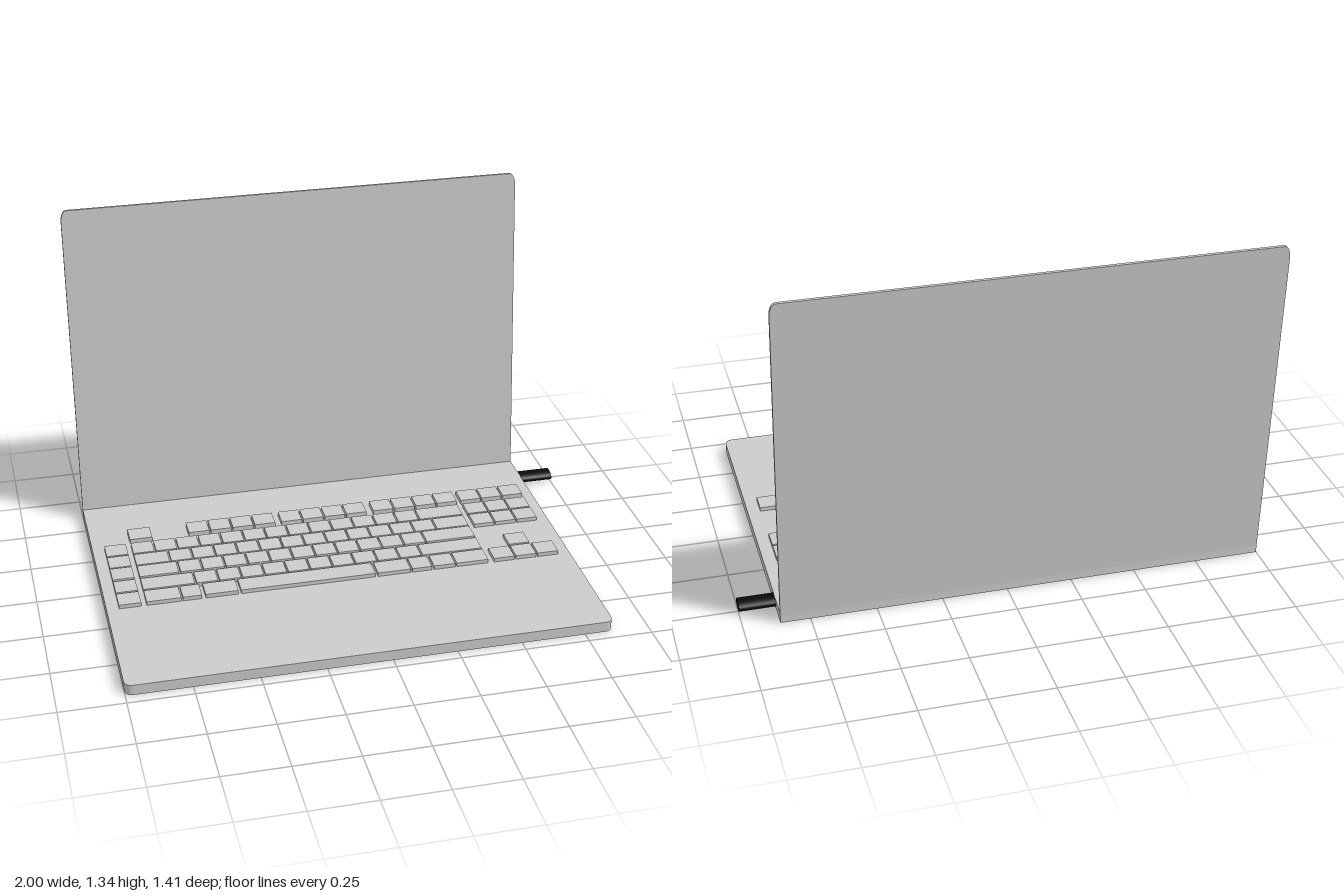
import * as THREE from 'three';

const grey = new THREE.MeshStandardMaterial({ color: 0xcccccc });
const black = new THREE.MeshStandardMaterial({ color: 0x0a0a0a });

const LEFT = -1, RIGHT = 0.862, WIDTH = RIGHT - LEFT, MID = (LEFT + RIGHT) / 2;

// Flat panel in XY standing on y = 0; far corners rounded, near ones square
function panel(name, height, depth, rx, ry) {
  const w = WIDTH / 2;
  const s = new THREE.Shape();
  s.moveTo(-w, 0);
  s.lineTo(w, 0);
  s.lineTo(w, height - ry);
  s.quadraticCurveTo(w - rx * 0.2, height, w - rx, height);
  s.lineTo(-w + rx, height);
  s.quadraticCurveTo(-w + rx * 0.2, height, -w, height - ry);
  s.closePath();
  const geo = new THREE.ExtrudeGeometry(s, { depth, bevelEnabled: false, curveSegments: 6 });
  const mesh = new THREE.Mesh(geo, grey);
  mesh.name = name;
  return mesh;
}

// Keyboard: rows listed as [left, right] edges in x
function keyboard() {
  const group = new THREE.Group();
  group.name = 'keyboard';
  const step = 0.0912, keyW = 0.084, gap = step - keyW;
  const x0 = -0.845, x1 = 0.521;
  const run = (x, n) => Array.from({ length: n }, (_, i) => [x + i * step, x + i * step + keyW]);
  const nav = run(0.546, 3);
  const side = [-0.952, -0.866];

  // A wide key, n standard keys, then a wide key filling the row
  const typingRow = (firstW, n) => {
    const start = x0 + firstW + gap;
    return [[x0, x0 + firstW], ...run(start, n), [start + n * step, x1]];
  };
  const rows = [
    { z: -0.328, top: 0.061, keys: [[x0, -0.754], ...run(-0.604, 4), ...run(-0.219, 4), ...run(0.169, 4), ...nav] },
    { z: -0.222, top: 0.058, keys: [side, ...typingRow(keyW, 12), ...nav] },
    { z: -0.131, top: 0.058, keys: [side, ...typingRow(0.132, 12), ...nav] },
    { z: -0.041, top: 0.058, keys: [side, ...typingRow(0.155, 11)] },
    { z: 0.055, top: 0.058, keys: [side, ...typingRow(0.203, 10), nav[1]] },
    { z: 0.147, top: 0.058, keys: [side, [x0, -0.711], [-0.704, -0.63], [-0.615, -0.487], [-0.476, 0.059],
      [0.07, 0.203], [0.21, 0.289], [0.299, 0.385], [0.392, x1], ...nav] },
  ];
  for (const { z, top, keys } of rows) {
    for (const [a, b] of keys) {
      const bottom = 0.038;
      const key = new THREE.Mesh(new THREE.BoxGeometry(b - a, top - bottom, 0.083), grey);
      key.position.set((a + b) / 2, (top + bottom) / 2, z);
      key.name = 'key';
      group.add(key);
    }
  }
  return group;
}

export function createModel() {
  const model = new THREE.Group();
  model.name = 'laptop';

  // Base lies flat, rounded corners to the front
  const base = panel('base', 1.32, 0.042, 0.03, 0.03);
  base.rotation.x = Math.PI / 2;
  base.position.set(MID, 0.042, -0.614);
  model.add(base);

  // Lid leans slightly backwards from the rear edge
  const lid = panel('lid', 1.308, 0.012, 0.025, 0.04);
  lid.rotation.x = -0.0725;
  lid.position.set(MID, 0.03, -0.614);
  model.add(lid);

  model.add(keyboard());

  // Oval plug in the left side
  const plug = new THREE.Mesh(new THREE.CylinderGeometry(1, 1, 0.16, 32), black);
  plug.name = 'plug';
  plug.rotation.z = Math.PI / 2;
  plug.scale.set(0.019, 1, 0.037);
  plug.position.set(0.92, 0.023, -0.491);
  model.add(plug);

  return model;
}
